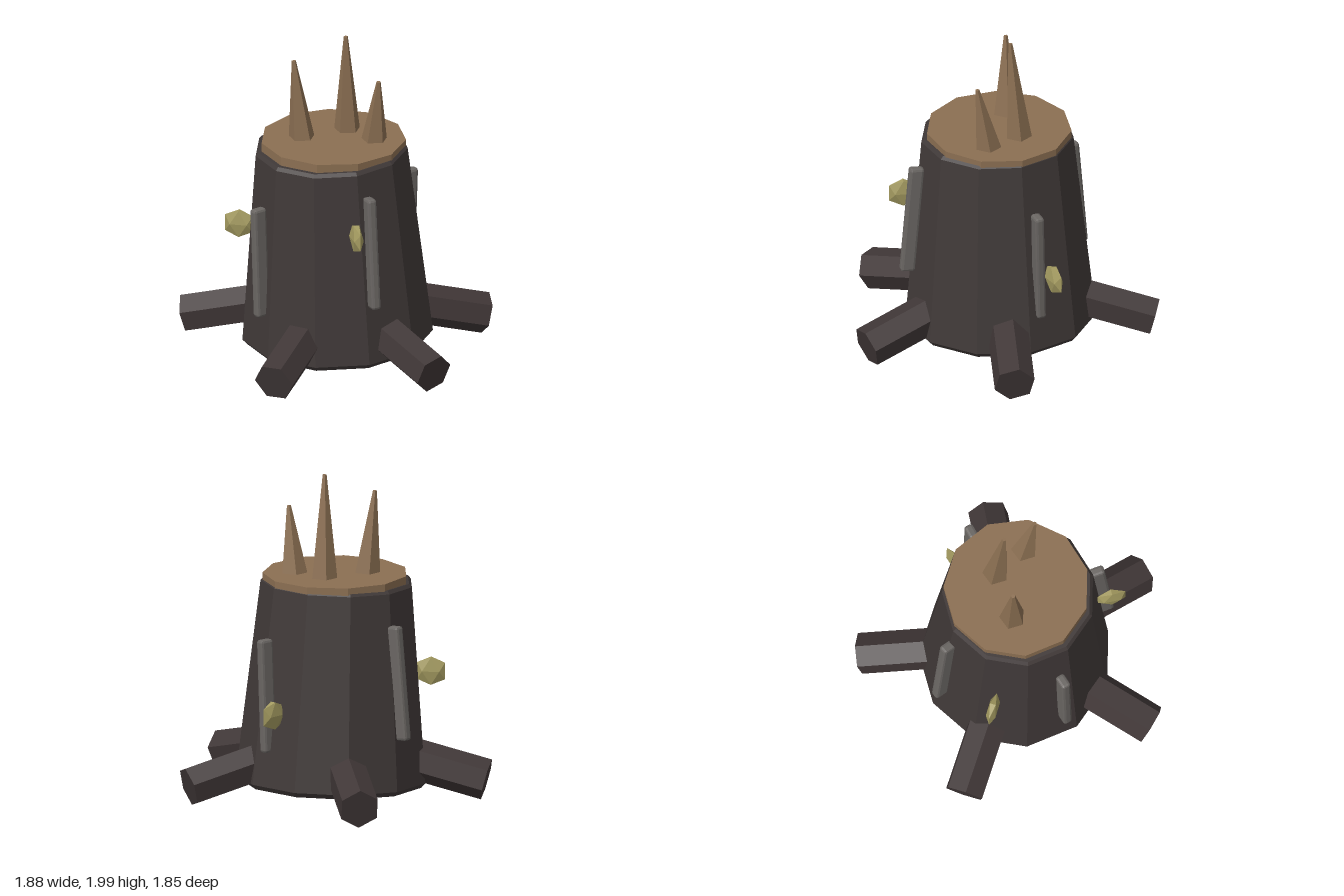
import * as THREE from 'three';
import { RoundedBoxGeometry } from 'three/addons/geometries/RoundedBoxGeometry.js';

const paint = (color) => new THREE.MeshStandardMaterial({ color, flatShading: true });
const V = (x, y, z) => new THREE.Vector3(x, y, z);
const UP = V(0, 1, 0);
const rad = THREE.MathUtils.degToRad;

export function createModel() {
  const model = new THREE.Group();
  const bark = paint(0x403938);
  const rootBark = paint(0x403737);
  const wood = paint(0x8b6f52);
  const branch = paint(0x6a6663);
  const moss = paint(0xa39a60);

  const add = (name, geometry, material) => {
    const mesh = new THREE.Mesh(geometry, material);
    mesh.name = name;
    model.add(mesh);
    return mesh;
  };

  // stand a mesh along the line a -> b, turned by yaw about its own axis
  const along = (mesh, a, b, yaw) => {
    mesh.position.copy(a).lerp(b, 0.5);
    mesh.quaternion.setFromUnitVectors(UP, b.clone().sub(a).normalize());
    mesh.quaternion.multiply(new THREE.Quaternion().setFromAxisAngle(UP, yaw));
    return mesh;
  };

  // tapered trunk with small bevels, leaning slightly
  const profile = [[0, 0], [0.555, 0], [0.58, 0.03], [0.463, 1.225], [0.445, 1.245], [0, 1.245]]
    .map(([r, y]) => new THREE.Vector2(r, y - 0.62));
  along(add('trunk', new THREE.LatheGeometry(profile, 11), bark),
    V(0.008, 0.088, 0.022), V(-0.03, 1.333, 0.045), Math.PI);

  // cut wood on top
  const cap = add('woodTop', new THREE.CylinderGeometry(0.44, 0.44, 0.055, 11), wood);
  cap.position.set(-0.015, 1.349, 0.032);
  cap.rotation.y = Math.PI;

  // splinters: base x, z and tip x, y, z
  const splinters = [
    [0.077, -0.097, 0.065, 2.0, -0.045],
    [-0.203, 0.01, -0.252, 1.875, 0.015],
    [0.23, 0.072, 0.252, 1.775, 0.135],
  ];
  for (const [x, z, tx, ty, tz] of splinters) {
    const base = V(x, 1.36, z), tip = V(tx, ty, tz);
    const shape = new THREE.CylinderGeometry(0.013, 0.082, base.distanceTo(tip), 5);
    along(add('splinter', shape, wood), base, tip, Math.PI);
  }

  // roots: direction and roll in degrees
  for (const [angle, roll] of [[-27, 28], [36, 15], [101, 12], [180, 0], [252, 10]]) {
    const a = rad(angle);
    const at = (r, y) => V(Math.sin(a) * r, y, 0.02 + Math.cos(a) * r);
    const inner = at(0.35, 0.28), outer = at(0.93, 0.13);
    const shape = new THREE.CylinderGeometry(0.125, 0.125, inner.distanceTo(outer), 6);
    along(add('root', shape, rootBark), outer, inner, a + rad(roll));
  }

  // thin bark strips: bottom point, top point, facing in degrees
  const strips = [
    [V(0.2, 0.48, 0.565), V(0.175, 1.175, 0.51), 20],
    [V(-0.465, 0.35, 0.33), V(-0.485, 1.045, 0.32), -57],
    [V(0.445, 0.35, -0.26), V(0.465, 1.045, -0.25), 119],
    [V(-0.35, 0.43, -0.425), V(-0.305, 1.125, -0.375), -141],
  ];
  for (const [bottom, top, facing] of strips) {
    const shape = new RoundedBoxGeometry(0.058, bottom.distanceTo(top), 0.09, 1, 0.016);
    along(add('barkStrip', shape, branch), bottom, top, rad(facing));
  }

  // faceted fungus lumps: position and facing in degrees
  for (const [x, y, z, facing] of [[0.09, 0.953, 0.6, 14], [-0.575, 0.775, -0.1, -105], [0.43, 0.595, -0.345, 128]]) {
    const lump = add('fungus', new THREE.IcosahedronGeometry(1, 0), moss);
    lump.scale.set(0.035, 0.098, 0.1);
    lump.position.set(x, y, z);
    lump.rotation.y = rad(facing);
  }

  return model;
}
